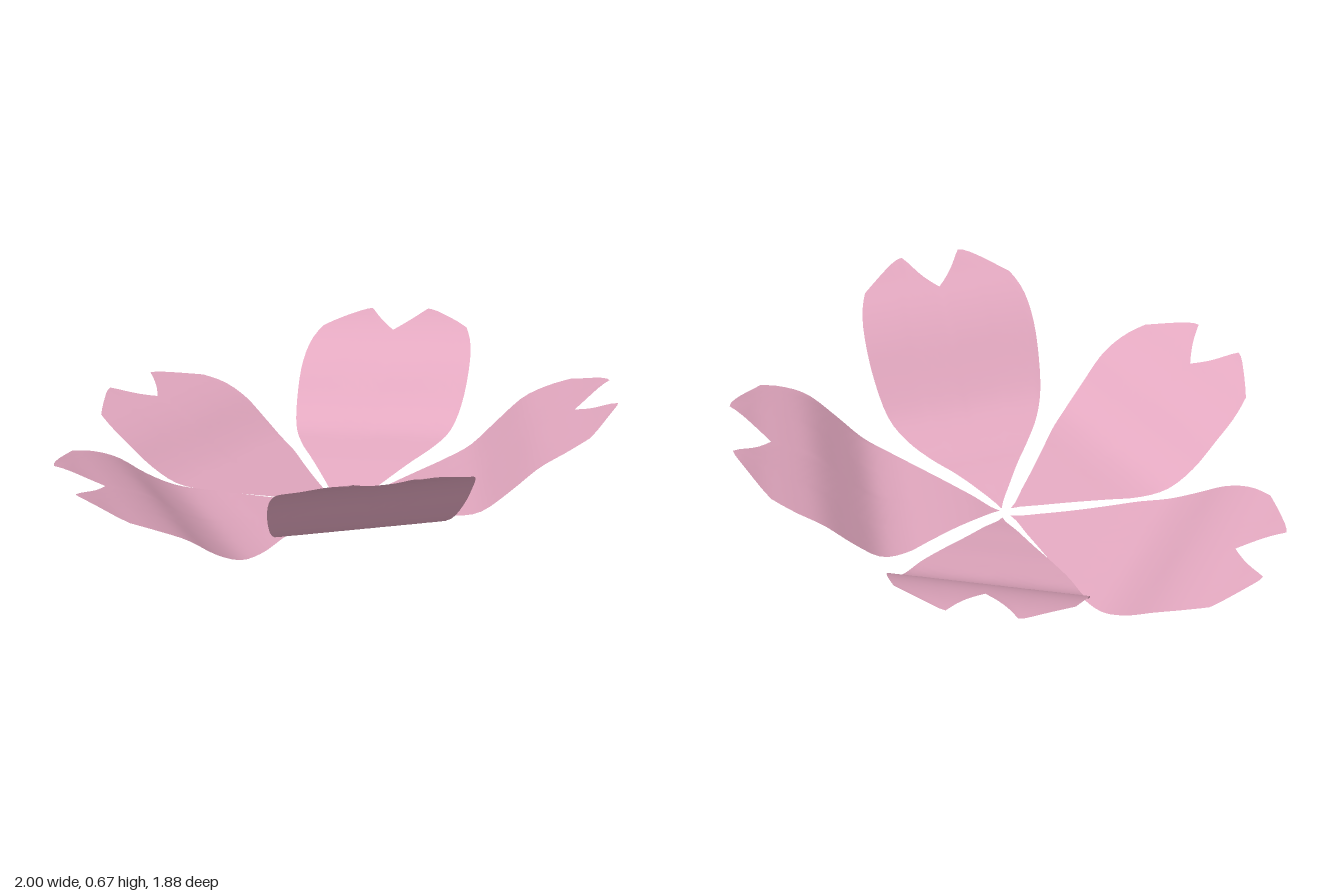
import * as THREE from 'three';

// Curve through evenly spaced values, read at t in 0..1
function curveOf(values) {
  const n = values.length - 1;
  const spline = new THREE.SplineCurve(values.map((v, i) => new THREE.Vector2(i / n, v)));
  return (t) => spline.getPoint(Math.min(t, 1)).y;
}

// Plan shape shared by all petals: half width along the length, and the notched end
const widthAt = curveOf([0, 0.18, 0.37, 0.57, 0.77, 0.91, 0.98, 1, 0.96, 0.84, 0.68]);
const HALF_WIDTH = 0.342;
function endAt(c) {
  const a = Math.abs(c);
  if (a < 0.5) return 0.86 + 0.14 * (a / 0.5);
  return 1 - 0.12 * Math.pow((a - 0.5) / 0.5, 1.6);
}

// A petal sheet: base point, direction and length in plan, height profile, sideways tilt
function petalGeometry({ base, dir, length, heights, tilt }) {
  const rows = 28, cols = 24;
  const heightAt = curveOf(heights);
  const k = Math.hypot(dir[0], dir[1]);
  const dx = dir[0] / k, dz = dir[1] / k;
  const positions = [], index = [];
  for (let i = 0; i <= rows; i++) {
    for (let j = 0; j <= cols; j++) {
      const c = (j / cols) * 2 - 1;
      const t = (i / rows) * endAt(c);
      const s = t * length;
      const w = c * widthAt(t) * HALF_WIDTH;
      positions.push(base[0] + dx * s - dz * w, heightAt(t) + tilt * w, base[1] + dz * s + dx * w);
      if (i < rows && j < cols) {
        const a = i * (cols + 1) + j, b = a + 1, d = a + cols + 1, e = d + 1;
        if (i > 0) index.push(a, b, d);
        index.push(b, e, d);
      }
    }
  }
  const geometry = new THREE.BufferGeometry();
  geometry.setAttribute('position', new THREE.Float32BufferAttribute(positions, 3));
  geometry.setIndex(index);
  geometry.computeVertexNormals();
  return geometry;
}

const PETALS = [
  { name: 'frontPetal', base: [0.02, 0.05], dir: [0.035, 0.75], length: 0.88, tilt: -0.02,
    heights: [0.04, 0.08, 0.11, 0.13, 0.17, 0.23, 0.34, 0.46, 0.55, 0.61, 0.67] },
  { name: 'leftPetal', base: [0.03, 0.04], dir: [0.99, 0.118], length: 0.96, tilt: 0.13,
    heights: [0.04, 0.07, 0.095, 0.115, 0.135, 0.175, 0.27, 0.37, 0.43, 0.48, 0.535] },
  { name: 'backLeftPetal', base: [0.02, 0.04], dir: [0.337, -0.941], length: 1, tilt: 0.1,
    heights: [0.005, 0.03, 0.05, 0.07, 0.085, 0.105, 0.17, 0.27, 0.34, 0.38, 0.4] },
  { name: 'backRightPetal', base: [0, 0], dir: [-0.735, -0.68], length: 1.03, tilt: -0.12,
    heights: [0.04, 0.035, 0.033, 0.033, 0.035, 0.045, 0.09, 0.15, 0.19, 0.21, 0.23] },
  { name: 'rightPetal', base: [-0.01, 0.03], dir: [-0.937, 0.35], length: 1.02, tilt: -0.05,
    heights: [0.05, 0.06, 0.07, 0.08, 0.09, 0.115, 0.18, 0.27, 0.33, 0.375, 0.42] },
];

export function createModel() {
  const blossom = new THREE.Group();
  blossom.name = 'blossom';
  const pink = new THREE.MeshStandardMaterial({ color: 0xe3a8c0, side: THREE.DoubleSide });
  pink.name = 'petal pink';
  for (const petal of PETALS) {
    const mesh = new THREE.Mesh(petalGeometry(petal), pink);
    mesh.name = petal.name;
    blossom.add(mesh);
  }
  return blossom;
}
